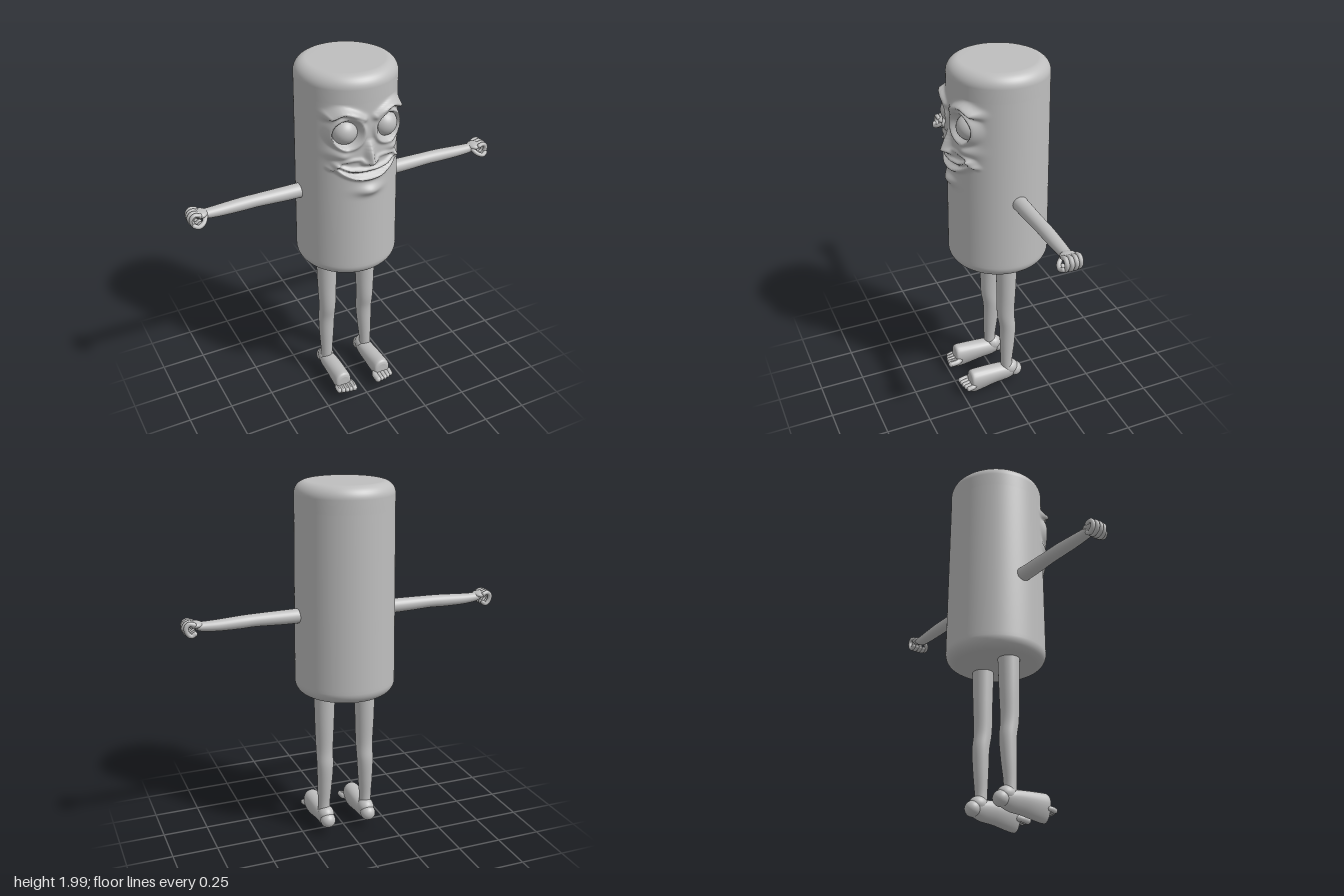
import * as THREE from 'three';
import { mergeGeometries, mergeVertices } from 'three/addons/utils/BufferGeometryUtils.js';

const grey = new THREE.MeshStandardMaterial({ color: 0xbebebe });
grey.name = 'plain grey';

// Smooth closed limb from elliptical sections [t, u, v, ru, rv].
// (u, v) is (y, z) along x, (z, x) along y, (x, y) along z; taper widens the +v side.
function loft(sections, axis, taper = 0, sides = 28, steps = 6) {
  const centre = new THREE.CatmullRomCurve3(
    sections.map(([t, u, v]) => new THREE.Vector3(u, v, t)), false, 'catmullrom', 0.5);
  const size = new THREE.CatmullRomCurve3(
    sections.map(([, , , ru, rv]) => new THREE.Vector3(ru, rv, 0)), false, 'catmullrom', 0.5);
  const rings = (sections.length - 1) * steps;
  const pos = [], index = [];
  const put = (u, v, t) => pos.push(...(axis === 'z' ? [u, v, t] : axis === 'x' ? [t, u, v] : [v, t, u]));
  for (let i = 0; i <= rings; i++) {
    const c = centre.getPoint(i / rings), r = size.getPoint(i / rings);
    for (let j = 0; j < sides; j++) {
      const a = (j / sides) * Math.PI * 2, s = Math.sin(a);
      put(c.x + r.x * Math.cos(a) * (1 + taper * s), c.y + r.y * s, c.z);
    }
  }
  for (let i = 0; i < rings; i++) for (let j = 0; j < sides; j++) {
    const a = i * sides + j, b = i * sides + (j + 1) % sides;
    index.push(a, b, a + sides, b, b + sides, a + sides);
  }
  // end caps
  const first = sections[0], last = sections[sections.length - 1];
  const n = (rings + 1) * sides, top = rings * sides;
  put(first[1], first[2], first[0]);
  put(last[1], last[2], last[0]);
  for (let j = 0; j < sides; j++) {
    const k = (j + 1) % sides;
    index.push(n, k, j, n + 1, top + j, top + k);
  }
  const g = new THREE.BufferGeometry();
  g.setAttribute('position', new THREE.Float32BufferAttribute(pos, 3));
  g.setIndex(index);
  g.computeVertexNormals();
  return g;
}

// Round-ended tube through points
function digit(points, r) {
  const p = points.map((q) => new THREE.Vector3(...q));
  const ends = [p[0], p[p.length - 1]].map((e) => new THREE.SphereGeometry(r, 12, 8).translate(e.x, e.y, e.z));
  return mergeGeometries([new THREE.TubeGeometry(new THREE.CatmullRomCurve3(p), 20, r, 10), ...ends]);
}

const ball = (x, y, z, rx, ry = rx, rz = rx) =>
  new THREE.SphereGeometry(1, 32, 20).scale(rx, ry, rz).translate(x, y, z);

// Reflected copy across x = 0 with the winding restored
function mirrored(geometry) {
  const g = geometry.clone().scale(-1, 1, 1), idx = g.index;
  for (let i = 0; i < idx.count; i += 3) {
    const a = idx.getX(i);
    idx.setX(i, idx.getX(i + 1));
    idx.setX(i + 1, a);
  }
  g.computeVertexNormals();
  return g;
}

// Ridge of the face along a curve: height fades with distance from the line
function ridge(points, width, height, outer = height) {
  const line = new THREE.CatmullRomCurve3(points.map(([x, y]) => new THREE.Vector3(x, y, 0))).getPoints(24);
  return (x, y) => {
    let best = 1, at = 0;
    line.forEach((p, i) => {
      const d = Math.hypot(p.x - x, p.y - y);
      if (d < best) { best = d; at = i / 24; }
    });
    return (height + (outer - height) * at) * Math.exp(-((best / width) ** 2));
  };
}
const bump = (cx, cy, wx, wy, h) => (x, y) => h * Math.exp(-(((x - cx) / wx) ** 2) - ((y - cy) / wy) ** 2);

// Relief of one half of the face
const relief = [
  ridge([[0.035, 1.785], [0.08, 1.81], [0.14, 1.825], [0.19, 1.8]], 0.019, 0.02, 0.06), // brow
  (x, y) => { // eyelid rim and socket
    const d = Math.hypot(x - 0.11, y - 1.71);
    return (0.016 + Math.max(0, x - 0.11) * 0.35) * Math.exp(-(((d - 0.08) / 0.013) ** 2))
      - 0.03 * Math.exp(-((d / 0.06) ** 4));
  },
  ridge([[0, 1.67], [0, 1.62], [0, 1.555]], 0.022, 0.0, 0.054), // nose bridge
  bump(0.032, 1.548, 0.016, 0.015, 0.02), // nostril
  bump(0.145, 1.595, 0.045, 0.03, 0.03), // cheek
  ridge([[0.045, 1.565], [0.1, 1.565], [0.155, 1.55], [0.185, 1.515]], 0.011, 0.008, 0.025), // smile fold
  ridge([[0, 1.508], [0.05, 1.508], [0.11, 1.514], [0.165, 1.54]], 0.012, 0.02, 0.022), // upper lip
  ridge([[0, 1.484], [0.08, 1.489], [0.15, 1.52]], 0.008, -0.012, -0.006), // mouth
  ridge([[0, 1.455], [0.06, 1.46], [0.12, 1.482], [0.165, 1.515]], 0.012, 0.022, 0.022), // lower lip
  bump(0, 1.385, 0.065, 0.028, 0.026), // chin
];

function bodyGeometry() {
  const profile = [new THREE.Vector2(0, 0.86), new THREE.Vector2(0.1, 0.86)];
  const R = 0.065;
  for (let i = 0; i <= 10; i++) {
    const a = (i / 10) * Math.PI / 2;
    profile.push(new THREE.Vector2(0.208 + R * Math.sin(a), 0.86 + R * (1 - Math.cos(a))));
  }
  for (let i = 1; i < 20; i++) profile.push(new THREE.Vector2(0.273 - 0.004 * i / 20, 0.925 + 0.4 * i / 20));
  for (let i = 0; i <= 90; i++) profile.push(new THREE.Vector2(0.269 - 0.006 * i / 90, 1.325 + 0.54 * i / 90));
  for (let i = 0; i <= 10; i++) {
    const a = (i / 10) * Math.PI / 2;
    profile.push(new THREE.Vector2(0.198 + R * Math.cos(a), 1.935 + R * Math.sin(a)));
  }
  profile.push(new THREE.Vector2(0.1, 2), new THREE.Vector2(0, 2));
  let g = new THREE.LatheGeometry(profile, 220, Math.PI);
  g.deleteAttribute('uv');
  g.deleteAttribute('normal');
  g = mergeVertices(g, 1e-5);
  const p = g.attributes.position;
  for (let i = 0; i < p.count; i++) {
    const x = Math.abs(p.getX(i)), y = p.getY(i), z = p.getZ(i);
    if (z > 0.05 && y > 1.3 && y < 1.9) {
      const fade = THREE.MathUtils.smoothstep(z, 0.08, 0.17);
      p.setZ(i, z + fade * relief.reduce((sum, f) => sum + f(x, y), 0));
    }
  }
  g.translate(0, 0, -0.024);
  g.computeVertexNormals();
  return g;
}

export function createModel() {
  const model = new THREE.Group();
  model.name = 'figure';
  const add = (name, geometry) => {
    const mesh = new THREE.Mesh(geometry, grey);
    mesh.name = name;
    model.add(mesh);
  };
  const pair = (name, geometry) => {
    add('left ' + name, geometry);
    add('right ' + name, mirrored(geometry));
  };

  add('body with face', bodyGeometry());
  pair('eye', ball(0.11, 1.71, 0.178, 0.067));

  // arms and fists
  pair('arm', loft([
    [0.2, 1.308, -0.032, 0.04, 0.042], [0.35, 1.308, -0.032, 0.038, 0.04], [0.5, 1.31, -0.033, 0.034, 0.037],
    [0.58, 1.308, -0.035, 0.034, 0.037], [0.7, 1.305, -0.035, 0.03, 0.034], [0.78, 1.307, -0.033, 0.025, 0.03],
    [0.81, 1.313, -0.032, 0.02, 0.032],
  ], 'x'));
  pair('palm', ball(0.815, 1.32, -0.028, 0.042, 0.019, 0.044));
  for (let i = 0; i < 4; i++) {
    const z = -0.064 + i * 0.024, s = [0.006, 0.001, 0, 0.004][i];
    pair('finger ' + (i + 1), digit([
      [0.825, 1.328, z], [0.855 - s, 1.334, z], [0.872 - s, 1.315, z], [0.865 - s, 1.284, z],
      [0.84, 1.27, z], [0.822, 1.28, z],
    ], 0.0125));
  }
  pair('thumb', digit([[0.79, 1.308, -0.005], [0.81, 1.288, 0.02], [0.84, 1.277, 0.029], [0.86, 1.285, 0.022]], 0.012));

  // legs, ankles and heels
  pair('leg', loft([
    [0.1, -0.03, 0.127, 0.034, 0.034], [0.18, -0.026, 0.127, 0.034, 0.034], [0.3, -0.031, 0.124, 0.042, 0.041],
    [0.42, -0.034, 0.121, 0.047, 0.046], [0.52, -0.022, 0.12, 0.05, 0.048], [0.68, -0.024, 0.12, 0.054, 0.054],
    [0.9, -0.025, 0.118, 0.06, 0.06],
  ], 'y'));
  pair('ankle', ball(0.123, 0.122, -0.045, 0.046, 0.045, 0.052));
  pair('heel', ball(0.123, 0.095, -0.08, 0.043));

  // tall narrow feet, pinched along the sole
  pair('foot', loft([
    [-0.09, 0.123, 0.092, 0.03, 0.036], [-0.03, 0.123, 0.092, 0.043, 0.056], [0.05, 0.123, 0.092, 0.047, 0.064],
    [0.14, 0.125, 0.086, 0.048, 0.075], [0.185, 0.126, 0.084, 0.047, 0.078], [0.2, 0.126, 0.084, 0.042, 0.07],
    [0.206, 0.126, 0.084, 0.03, 0.054],
  ], 'z', 0.3));
  for (let i = 0; i < 5; i++) {
    const x = 0.079 + i * 0.022, r = i === 0 ? 0.018 : 0.0145, tip = [0.242, 0.243, 0.24, 0.234, 0.226][i];
    pair('toe ' + (i + 1), digit([[0.105 + i * 0.01, 0.078, 0.17], [x, 0.076, 0.2], [x, 0.07, tip]], r));
  }
  return model;
}
